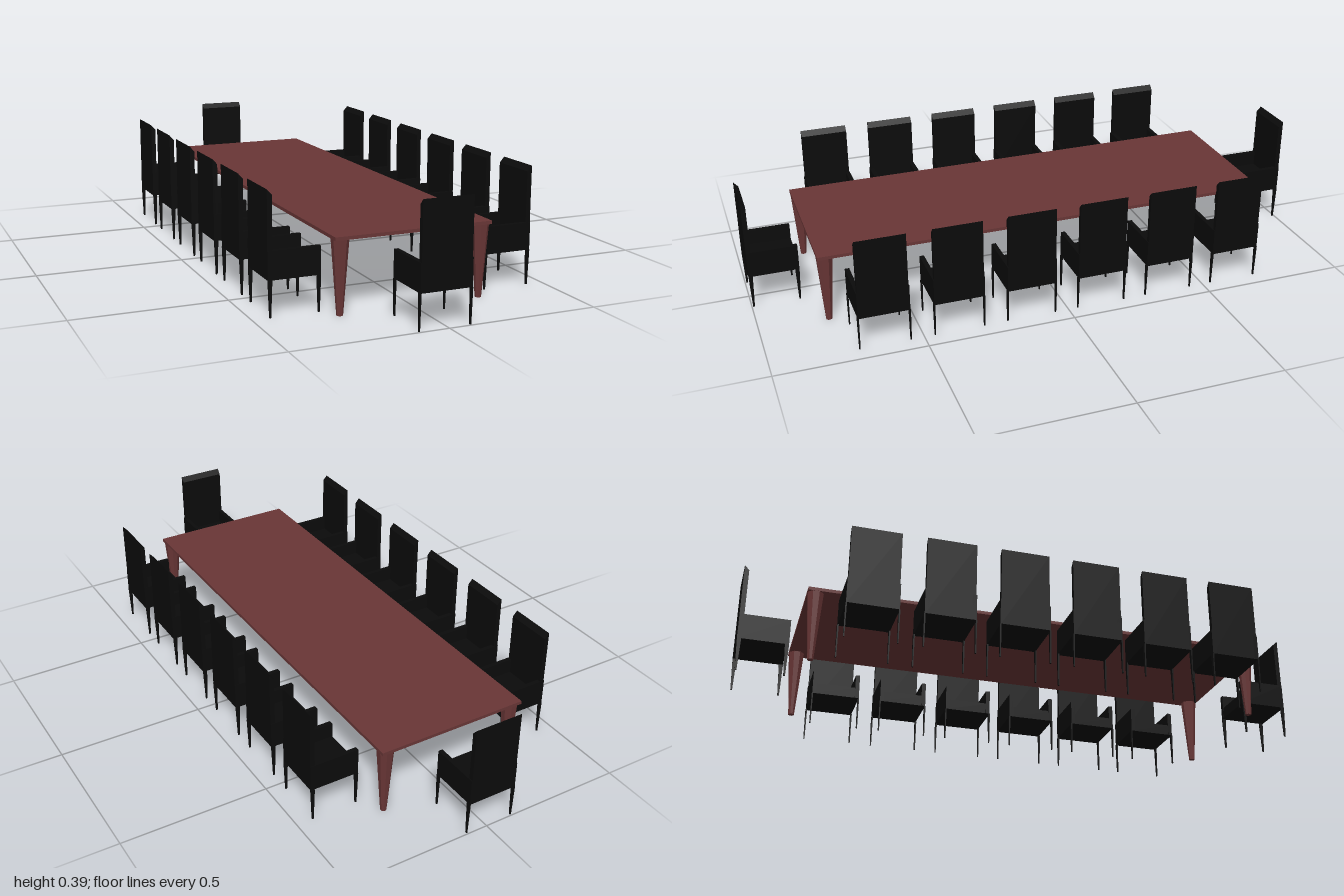
import * as THREE from 'three';

const wood = new THREE.MeshStandardMaterial({ color: 0x693636, flatShading: true });
const black = new THREE.MeshStandardMaterial({ color: 0x0b0b0b, flatShading: true });

function add(parent, name, geometry, material, x, y, z) {
  const mesh = new THREE.Mesh(geometry, material);
  mesh.name = name;
  mesh.position.set(x, y, z);
  parent.add(mesh);
  return mesh;
}

// Box narrowing towards its foot, in depth only or in both directions
function taperedBox(width, height, depth, footX, footZ) {
  const geometry = new THREE.BoxGeometry(width, height, depth);
  const p = geometry.attributes.position;
  for (let i = 0; i < p.count; i++) {
    if (p.getY(i) < 0) p.setXYZ(i, p.getX(i) * footX, p.getY(i), p.getZ(i) * footZ);
  }
  geometry.computeVertexNormals();
  return geometry;
}

// Armchair with its back towards +z
function createChair() {
  const chair = new THREE.Group();
  chair.name = 'chair';
  const half = 0.085, seatBottom = 0.115, armTop = 0.205, armWidth = 0.015;

  add(chair, 'seat', new THREE.BoxGeometry(0.166, 0.04, 0.168), black, 0, seatBottom + 0.02, 0);

  // Back panel with a top edge sloping down towards the sitter
  const profile = new THREE.Shape([
    new THREE.Vector2(half - 0.016, seatBottom),
    new THREE.Vector2(half, seatBottom),
    new THREE.Vector2(half, 0.39),
    new THREE.Vector2(half - 0.016, 0.372),
  ]);
  const back = new THREE.ExtrudeGeometry(profile, { depth: 0.165, bevelEnabled: false });
  back.translate(0, 0, -0.0825);
  back.rotateY(-Math.PI / 2);
  add(chair, 'backrest', back, black, 0, 0, 0);

  const armGeometry = new THREE.BoxGeometry(armWidth, armTop - seatBottom, 2 * half);
  const legGeometry = taperedBox(0.005, seatBottom, 0.014, 0.8, 0.4);
  for (const side of [-1, 1]) {
    add(chair, 'armPanel', armGeometry, black, side * (half - armWidth / 2), (armTop + seatBottom) / 2, 0);
    for (const end of [-1, 1]) {
      add(chair, 'chairLeg', legGeometry, black, side * (half - 0.001), seatBottom / 2, end * (half - 0.007));
    }
  }
  return chair;
}

function createTable() {
  const table = new THREE.Group();
  table.name = 'table';
  add(table, 'tableTop', new THREE.BoxGeometry(0.527, 0.011, 1.595), wood, 0, 0.2425, 0);

  // Eight-sided tapering legs, flat sides parallel to the table edges
  const toRadius = 0.5 / Math.cos(Math.PI / 8);
  const leg = new THREE.CylinderGeometry(0.052 * toRadius, 0.019 * toRadius, 0.24, 8);
  leg.rotateY(Math.PI / 8);
  for (const x of [-1, 1]) {
    for (const z of [-1, 1]) add(table, 'tableLeg', leg, wood, x * 0.237, 0.12, z * 0.771);
  }
  table.position.set(-0.0065, 0, -0.002);
  return table;
}

export function createModel() {
  const model = new THREE.Group();
  model.name = 'diningSet';
  model.add(createTable());

  const place = (x, z, turn) => {
    const chair = createChair();
    chair.position.set(x, 0, z);
    chair.rotation.y = turn;
    model.add(chair);
  };

  // Six chairs along each long side
  for (let i = 0; i < 6; i++) {
    const z = -0.615 + i * 0.2487;
    place(0.365, z, Math.PI / 2);
    place(-0.365, z, -Math.PI / 2);
  }
  // One chair at each end
  place(-0.012, 0.915, 0);
  place(-0.012, -0.915, Math.PI);
  return model;
}
